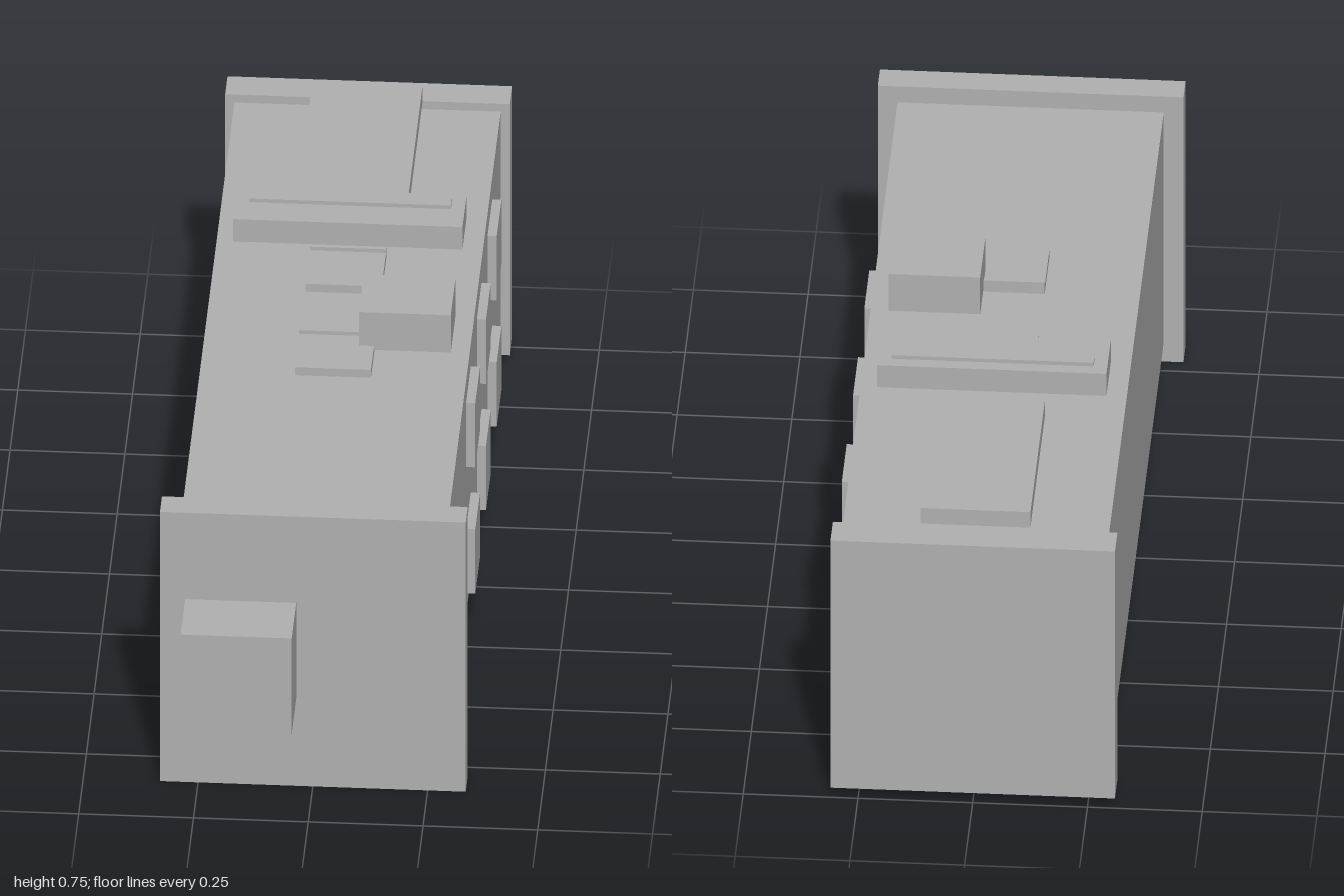
import * as THREE from 'three';

export function createModel() {
  const model = new THREE.Group();
  model.name = 'equipmentModule';
  const grey = new THREE.MeshStandardMaterial({ color: 0xb0b0b0 });
  grey.name = 'grey';

  // Box given by its extents along each axis
  function block(name, [x0, x1], [y0, y1], [z0, z1]) {
    const mesh = new THREE.Mesh(new THREE.BoxGeometry(x1 - x0, y1 - y0, z1 - z0), grey);
    mesh.position.set((x0 + x1) / 2, (y0 + y1) / 2, (z0 + z1) / 2);
    mesh.name = name;
    model.add(mesh);
  }

  // Long body with an end plate at each end
  block('body', [-0.29, 0.29], [0.05, 0.645], [-0.925, 0.787]);
  block('frontFlange', [-0.333, 0.333], [0, 0.686], [0.787, 0.852]);
  block('rearFlange', [-0.31, 0.31], [0.025, 0.665], [-1, -0.925]);
  block('frontBox', [-0.278, -0.036], [0.222, 0.466], [0.852, 1]);

  // Three rows of access panels: one on the roof, two on the left side
  for (const z of [0.122, -0.226, -0.574]) {
    const span = [z - 0.076, z + 0.076];
    block('roofPanel', [-0.083, 0.083], [0.645, 0.665], span);
    block('roofPanelHinge', [-0.083, 0.083], [0.665, 0.674], [z - 0.076, z - 0.064]);
    for (const y of [0.186, 0.508]) {
      block('sidePanel', [0.29, 0.31], [y - 0.082, y + 0.082], span);
    }
  }

  // Roof equipment, raised slightly above the body
  block('roofBox', [0.05, 0.25], [0.655, 0.75], [-0.06, 0.098]);
  block('crossBar', [-0.25, 0.25], [0.686, 0.743], [-0.414, -0.281]);
  block('crossBarStrip', [-0.22, 0.22], [0.743, 0.752], [-0.386, -0.354]);
  block('rearRoofPlate', [-0.12, 0.12], [0.665, 0.705], [-0.918, -0.463]);

  return model;
}
